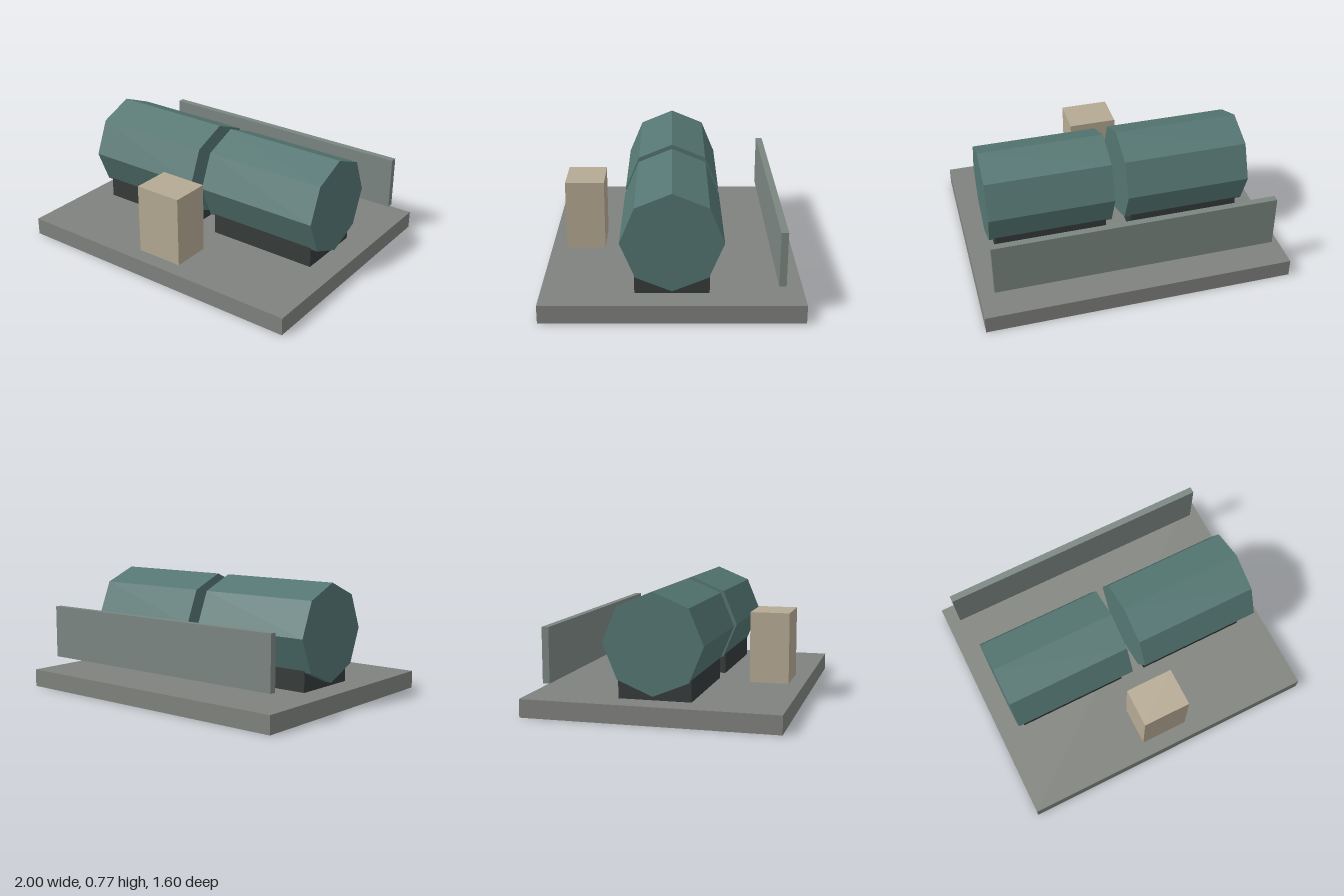
import * as THREE from 'three';

const paint = (color) => new THREE.MeshStandardMaterial({ color, flatShading: true });

// Box given by its lower and upper limits on each axis
function block(name, [x0, x1], [y0, y1], [z0, z1], material) {
  const mesh = new THREE.Mesh(new THREE.BoxGeometry(x1 - x0, y1 - y0, z1 - z0), material);
  mesh.position.set((x0 + x1) / 2, (y0 + y1) / 2, (z0 + z1) / 2);
  mesh.name = name;
  return mesh;
}

export function createModel() {
  const model = new THREE.Group();
  model.name = 'tankStation';
  const teal = paint(0x547672);
  const dark = paint(0x363b3a);
  const baseTop = 0.115;

  // Ground slab
  model.add(block('baseSlab', [-1, 1], [0, baseTop], [-0.8, 0.8], paint(0x80827e)));

  // Two octagonal tanks lying end to end, each on its own cradle
  const tankGeometry = new THREE.CylinderGeometry(0.313, 0.313, 0.825, 8).rotateZ(Math.PI / 2);
  for (const [side, s] of [['left', 1], ['right', -1]]) {
    const centre = s * 0.457;
    const tank = new THREE.Mesh(tankGeometry, teal);
    tank.name = side + 'Tank';
    tank.position.set(centre, 0.459, 0);
    model.add(tank);
    model.add(block(side + 'Cradle', [centre - 0.371, centre + 0.371],
      [baseTop, 0.25], [-0.228, 0.228], dark));
  }

  // Control cabinet in front
  model.add(block('controlCabinet', [-0.158, 0.158], [baseTop, 0.574], [0.445, 0.7], paint(0xb5a993)));

  // Raised screen panel behind
  model.add(block('rearPanel', [-0.912, 0.912], [0.2, 0.545], [-0.68, -0.636], paint(0x7b8681)));

  return model;
}
